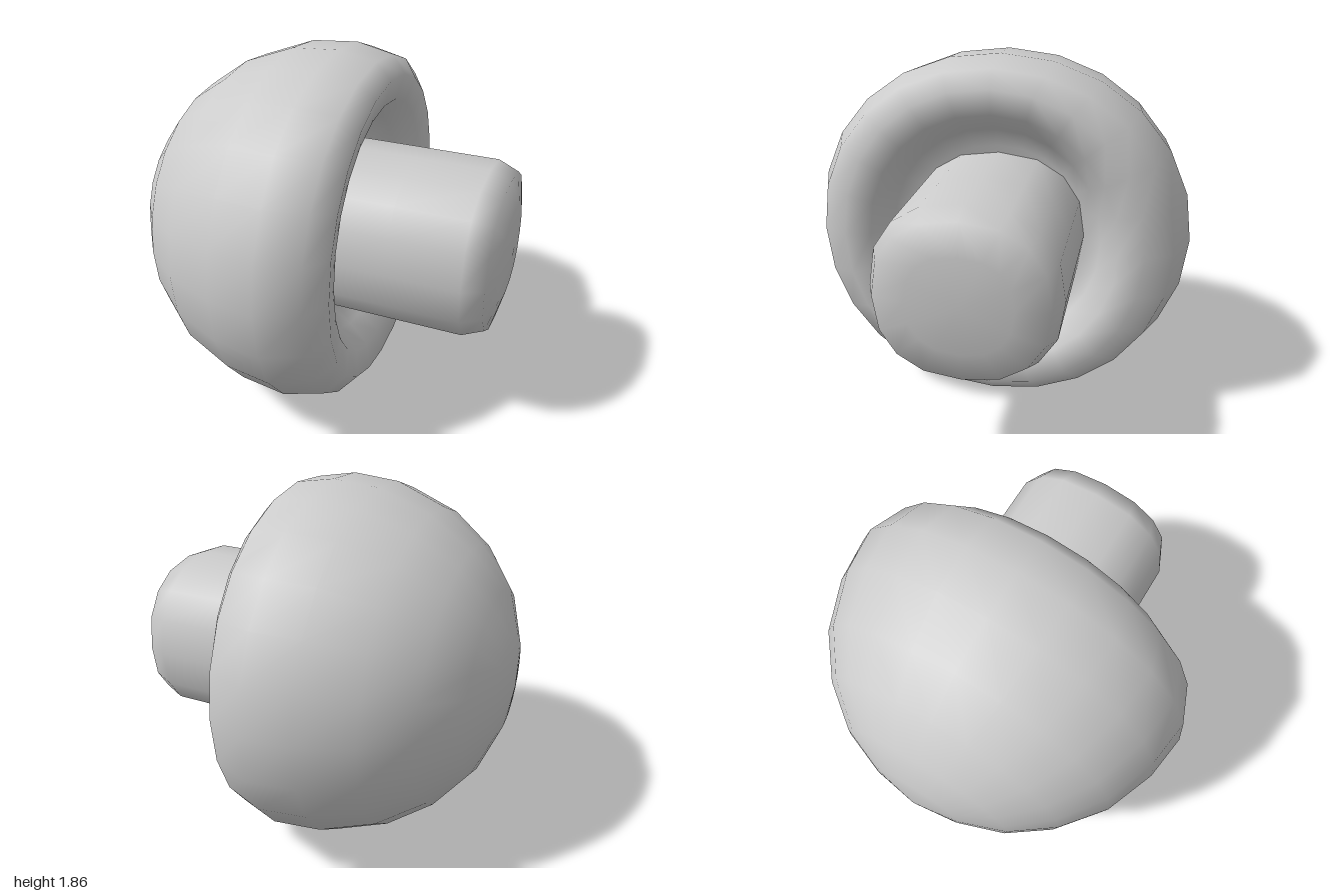
import * as THREE from 'three';
import { mergeVertices } from 'three/addons/utils/BufferGeometryUtils.js';

const CENTER_Y = 0.932;

// Skins rings [x, radiusY, radiusZ] along x; power 2 is an ellipse, higher is squarer.
function loft(rings, sides, power) {
  const pos = [], idx = [];
  const bend = (v) => Math.sign(v) * Math.pow(Math.abs(v), 2 / power);
  for (const [x, ry, rz] of rings) {
    for (let j = 0; j < sides; j++) {
      const a = (j / sides) * Math.PI * 2;
      pos.push(x, ry * bend(Math.cos(a)), rz * bend(Math.sin(a)));
    }
  }
  for (let i = 0; i < rings.length - 1; i++) {
    for (let j = 0; j < sides; j++) {
      const k = (j + 1) % sides;
      const a = i * sides + j, b = i * sides + k, c = a + sides, d = b + sides;
      if (rings[i][1] > 0) idx.push(a, b, c);
      if (rings[i + 1][1] > 0) idx.push(b, d, c);
    }
  }
  const geo = new THREE.BufferGeometry();
  geo.setAttribute('position', new THREE.Float32BufferAttribute(pos, 3));
  geo.setIndex(idx);
  const merged = mergeVertices(geo, 1e-5);
  merged.computeVertexNormals();
  return merged;
}

export function createModel() {
  const group = new THREE.Group();
  group.name = 'mushroom';
  const material = new THREE.MeshStandardMaterial({ color: 0xcccccc });

  const add = (name, geometry) => {
    const mesh = new THREE.Mesh(geometry, material);
    mesh.name = name;
    mesh.position.y = CENTER_Y;
    group.add(mesh);
  };

  // Domed cap, rolled rim and the hollow underneath
  add('cap', loft([
    [-0.98, 0, 0],
    [-0.94, 0.25, 0.25],
    [-0.855, 0.47, 0.48],
    [-0.7, 0.665, 0.69],
    [-0.49, 0.815, 0.86],
    [-0.225, 0.915, 0.965],
    [0.02, 0.932, 1.0],
    [0.22, 0.895, 0.92],
    [0.3, 0.81, 0.78],
    [0.27, 0.68, 0.65],
    [0.16, 0.58, 0.55],
    [0.07, 0.47, 0.47],
    [0.05, 0, 0],
  ], 24, 2.06));

  // Squarish stem with a bevelled, slightly domed end
  add('stem', loft([
    [0.03, 0.432, 0.455],
    [0.45, 0.432, 0.455],
    [0.82, 0.432, 0.455],
    [0.925, 0.39, 0.41],
    [0.96, 0.24, 0.25],
    [0.975, 0, 0],
  ], 16, 2.35));

  return group;
}
